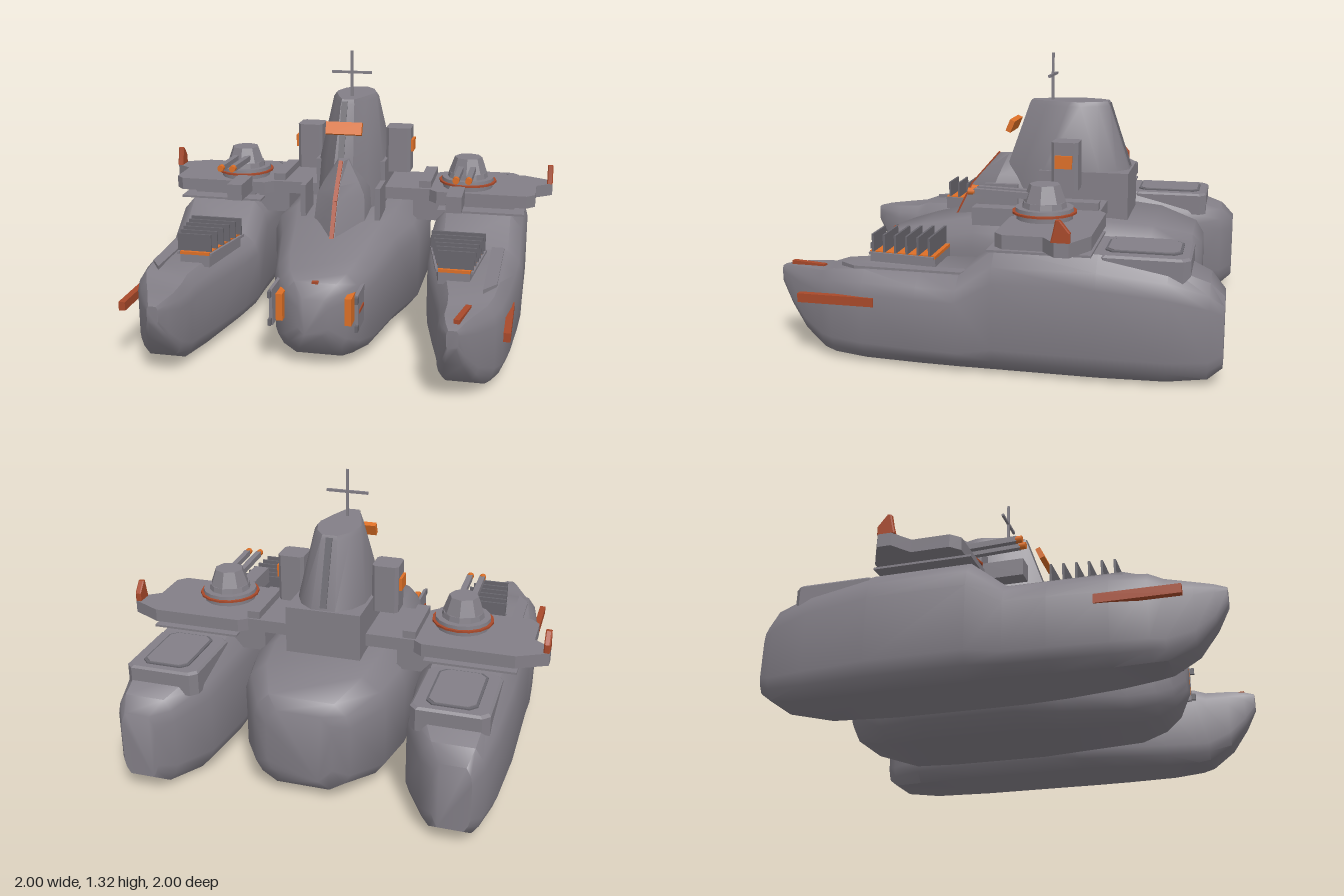
import * as THREE from 'three';
import { toCreasedNormals } from 'three/addons/utils/BufferGeometryUtils.js';

const mat = (name, color) => Object.assign(new THREE.MeshStandardMaterial({ color }), { name });
const grey = mat('hull grey', 0x837f87);
const dark = mat('dark grey', 0x68666d);
const orange = mat('orange', 0xdd6f26);
const rust = mat('rust orange', 0xa8492a);

function add(parent, name, geometry, material, x = 0, y = 0, z = 0) {
  const m = new THREE.Mesh(geometry, material);
  m.name = name;
  m.position.set(x, y, z);
  parent.add(m);
  return m;
}

// box given by its limits
function box(parent, name, material, x0, x1, y0, y1, z0, z1) {
  return add(parent, name, new THREE.BoxGeometry(x1 - x0, y1 - y0, z1 - z0), material,
    (x0 + x1) / 2, (y0 + y1) / 2, (z0 + z1) / 2);
}

// bar running from point a to point b
function beam(parent, name, material, a, b, w, h) {
  const A = new THREE.Vector3(...a), B = new THREE.Vector3(...b);
  const m = add(parent, name, new THREE.BoxGeometry(w, h, A.distanceTo(B)), material);
  m.position.copy(A).add(B).multiplyScalar(0.5);
  m.lookAt(B);
}

// skin over rings of points, closed at both ends
function loft(rings, crease = 0.5) {
  const n = rings[0].length, pos = rings.flat(2), idx = [];
  for (let i = 0; i < rings.length - 1; i++)
    for (let j = 0; j < n; j++) {
      const a = i * n + j, b = i * n + (j + 1) % n;
      idx.push(a, b, b + n, a, b + n, a + n);
    }
  const last = (rings.length - 1) * n;
  for (let j = 1; j < n - 1; j++) idx.push(0, j + 1, j, last, last + j, last + j + 1);
  const g = new THREE.BufferGeometry();
  g.setAttribute('position', new THREE.Float32BufferAttribute(pos, 3));
  g.setIndex(idx);
  return toCreasedNormals(g, crease);
}

// chamfered hull section; station = [z, x0, x1, y0, y1], b = bottom corner cut
const hullRing = (b) => ([z, x0, x1, y0, y1]) =>
  [[b, 0], [1 - b, 0], [1 - b * 0.3, 0.1], [1, 0.21], [1, 0.75], [0.96, 0.88], [0.84, 1],
    [0.16, 1], [0.04, 0.88], [0, 0.75], [0, 0.21], [b * 0.3, 0.1]]
    .map(([u, v]) => [x0 + u * (x1 - x0), y0 + v * (y1 - y0), z]);

// horizontal ring with cut corners
function cutRing(y, x0, x1, z0, z1, c) {
  return [[x1, z1 - c], [x1, z0 + c], [x1 - c, z0], [x0 + c, z0], [x0, z0 + c], [x0, z1 - c],
    [x0 + c, z1], [x1 - c, z1]].map(([x, z]) => [x, y, z]);
}

// flat plate from an outline of [x, z]
function plate(points, y0, y1) {
  const s = new THREE.Shape(points.map(([x, z]) => new THREE.Vector2(x, -z)));
  return new THREE.ExtrudeGeometry(s, { depth: y1 - y0, bevelEnabled: false })
    .rotateX(-Math.PI / 2).translate(0, y0, 0);
}

function turret() {
  const g = new THREE.Group();
  g.name = 'turret';
  const drum = (name, m, r0, r1, y0, y1, n) => add(g, name,
    toCreasedNormals(new THREE.CylinderGeometry(r1, r0, y1 - y0, n), 0.5), m, 0, (y0 + y1) / 2, 0);
  drum('turretRing', grey, 0.125, 0.125, 0.64, 0.665, 16);
  drum('turretBand', rust, 0.143, 0.143, 0.665, 0.674, 16);
  drum('turretCollar', grey, 0.13, 0.128, 0.674, 0.69, 16);
  drum('turretBody', grey, 0.1, 0.095, 0.69, 0.715, 12);
  drum('turretHead', grey, 0.095, 0.068, 0.715, 0.79, 8);
  for (const x of [-0.03, 0.03]) {
    beam(g, 'barrel', grey, [x, 0.74, 0.04], [x, 0.75, 0.31], 0.027, 0.027);
    const tip = add(g, 'barrelTip', new THREE.CylinderGeometry(0.016, 0.016, 0.03, 10), orange, x, 0.75, 0.32);
    tip.rotation.x = Math.PI / 2;
  }
  box(g, 'barrelCradle', grey, -0.075, 0.0, 0.59, 0.67, 0.14, 0.33);
  g.position.set(0.58, 0, -0.21);
  return g;
}

function launcher() {
  const g = new THREE.Group();
  g.name = 'launcher';
  const outline = [[0.475, 0.255], [0.7, 0.255], [0.665, 0.57], [0.525, 0.57]];
  add(g, 'launcherBase', plate(outline, 0.40, 0.455), grey);
  add(g, 'launcherBed', plate(outline, 0.455, 0.469), orange);
  for (let i = 0; i < 6; i++) {
    const t = i / 5, z = 0.28 + 0.27 * t;
    box(g, 'slat', dark, 0.46 + 0.06 * t, 0.71 - 0.03 * t, 0.469, 0.55, z - 0.005, z + 0.005);
  }
  beam(g, 'launcherRail', grey, [0.46, 0.46, 0.26], [0.52, 0.46, 0.57], 0.012, 0.012);
  beam(g, 'launcherRail', grey, [0.71, 0.46, 0.26], [0.675, 0.46, 0.57], 0.012, 0.012);
  return g;
}

// everything on one side, built at +x
function sideAssembly() {
  const g = new THREE.Group();
  const stations = [
    [-1, 0.62, 0.785, 0.08, 0.39], [-0.94, 0.555, 0.825, 0.035, 0.45], [-0.77, 0.455, 0.86, 0.015, 0.51],
    [-0.48, 0.42, 0.88, 0.012, 0.55], [-0.04, 0.42, 0.88, 0.012, 0.55], [0.12, 0.425, 0.88, 0.012, 0.42],
    [0.3, 0.45, 0.87, 0.012, 0.42], [0.55, 0.505, 0.85, 0.015, 0.42], [0.7, 0.54, 0.825, 0.025, 0.41],
    [0.76, 0.55, 0.795, 0.035, 0.39], [0.87, 0.56, 0.735, 0.1, 0.385], [0.95, 0.585, 0.69, 0.2, 0.38],
    [1, 0.61, 0.66, 0.29, 0.37]];
  add(g, 'sideHull', loft(stations.map(hullRing(0.16)), 0.85), grey);
  box(g, 'hullDeckPlate', grey, 0.45, 0.87, 0.55, 0.56, -0.46, -0.02);
  add(g, 'deckStrip', plate([[0.73, 0.11], [0.79, 0.11], [0.785, 0.6], [0.73, 0.68]], 0.405, 0.43), grey);

  // rear hatch
  add(g, 'rearHatch', loft([cutRing(0.44, 0.48, 0.82, -0.86, -0.47, 0.03),
    cutRing(0.54, 0.48, 0.82, -0.86, -0.47, 0.03), cutRing(0.55, 0.49, 0.81, -0.85, -0.48, 0.03)]), grey);
  add(g, 'hatchRim', loft([cutRing(0.55, 0.54, 0.76, -0.82, -0.5, 0.03),
    cutRing(0.556, 0.54, 0.76, -0.82, -0.5, 0.03)]), dark);
  add(g, 'hatchPanel', loft([cutRing(0.55, 0.55, 0.75, -0.81, -0.51, 0.03),
    cutRing(0.56, 0.55, 0.75, -0.81, -0.51, 0.03)]), grey);

  // wing deck, its connector and tip fin
  add(g, 'wingDeck', plate([[0.1, -0.43], [0.4, -0.43], [0.44, -0.46], [0.86, -0.46], [1, -0.39],
    [1, -0.33], [0.92, -0.27], [0.92, -0.1], [0.88, -0.06], [0.44, -0.06], [0.4, -0.1], [0.1, -0.1]],
  0.58, 0.64), grey);
  box(g, 'connector', grey, 0.32, 0.48, 0.48, 0.58, -0.42, -0.1);
  box(g, 'wingPylon', grey, 0.5, 0.82, 0.55, 0.58, -0.4, -0.1);
  box(g, 'deckLocker', grey, 0.345, 0.405, 0.64, 0.675, -0.42, -0.12);
  add(g, 'wingTipFin', loft([cutRing(0.64, 0.972, 1, -0.395, -0.315, 0.005),
    cutRing(0.68, 0.972, 1, -0.395, -0.325, 0.005), cutRing(0.73, 0.972, 1, -0.355, -0.335, 0.005)]), rust);

  g.add(turret(), launcher());
  box(g, 'sideStripe', rust, 0.83, 0.86, 0.27, 0.31, 0.49, 0.84);

  // bow panels beside the centre hull
  box(g, 'bowPanel', orange, 0.14, 0.17, 0.235, 0.36, 0.59, 0.73);
  box(g, 'bowBracket', grey, 0.185, 0.2, 0.21, 0.38, 0.58, 0.73);
  box(g, 'bracketMark', rust, 0.2, 0.204, 0.29, 0.305, 0.61, 0.71);
  for (const y of [0.23, 0.36]) box(g, 'bracketPin', dark, 0.188, 0.202, y - 0.015, y + 0.015, 0.72, 0.75);

  // sensor pods and cabin fins
  add(g, 'sensorPod', loft([cutRing(0.7, 0.165, 0.29, -0.305, -0.18, 0.015),
    cutRing(0.925, 0.165, 0.29, -0.305, -0.18, 0.015)]), grey);
  box(g, 'podLight', orange, 0.285, 0.303, 0.805, 0.865, -0.28, -0.2);
  box(g, 'cabinFin', grey, 0.17, 0.195, 0.5, 0.7, 0.0, 0.16);
  return g;
}

export function createModel() {
  const model = new THREE.Group();
  model.name = 'trimaranWarship';

  // centre hull
  const hull = [[-0.87, 0.15, 0.11, 0.44], [-0.83, 0.22, 0.05, 0.49], [-0.65, 0.33, 0.0, 0.54],
    [-0.45, 0.37, 0, 0.555], [0, 0.365, 0, 0.555], [0.2, 0.3, 0, 0.54], [0.5, 0.235, 0.005, 0.47],
    [0.62, 0.19, 0.04, 0.435], [0.69, 0.14, 0.09, 0.41], [0.74, 0.07, 0.18, 0.35]];
  add(model, 'centreHull', loft(hull.map(([z, w, y0, y1]) => hullRing(0.22)([z, -w, w, y0, y1])), 0.85), grey);
  box(model, 'bowLight', rust, -0.015, 0.015, 0.405, 0.415, 0.675, 0.695);

  // both sides
  for (const s of [1, -1]) {
    const side = sideAssembly();
    side.name = s > 0 ? 'leftSide' : 'rightSide';
    side.scale.x = s;
    model.add(side);
  }
  beam(model, 'bowStripe', rust, [0.68, 0.388, 0.78], [0.645, 0.388, 0.95], 0.025, 0.02);

  // superstructure block and tower
  box(model, 'rearBlock', grey, -0.175, 0.175, 0.53, 0.77, -0.525, -0.1);
  const towerRing = (y, w, zf, zb) => {
    const half = [[w * 0.65, zf - 0.09], [w, zf - 0.2], [w, zb + 0.13], [w * 0.75, zb + 0.05], [w * 0.35, zb]];
    return [[w * 0.3, zf], ...half, ...half.map(([x, z]) => [-x, z]).reverse(), [-w * 0.3, zf]]
      .map(([x, z]) => [x, y, z]);
  };
  add(model, 'tower', loft([towerRing(0.53, 0.17, 0.1, -0.52), towerRing(0.77, 0.16, 0.08, -0.515),
    towerRing(1.07, 0.11, -0.025, -0.415), towerRing(1.09, 0.098, -0.035, -0.405)], 0.7), grey);
  beam(model, 'towerFrontRib', dark, [-0.015, 0.78, 0.075], [-0.015, 1.08, -0.029], 0.03, 0.01);
  beam(model, 'towerRearRib', dark, [0, 0.78, -0.512], [0, 1.08, -0.412], 0.03, 0.01);

  // forward cabin with its ridge stripe
  const cabinRing = (y, w, zf, zm) => [[w, zm], [w, -0.1], [-w, -0.1], [-w, zm], [-0.012, zf],
    [0.012, zf]].map(([x, z]) => [x, y, z]);
  add(model, 'cabin', loft([cabinRing(0.45, 0.13, 0.375, 0.2), cabinRing(0.66, 0.115, 0.27, 0.14),
    cabinRing(0.72, 0.085, 0.22, 0.12), cabinRing(0.82, 0.025, 0.13, 0.08)]), grey);
  beam(model, 'ridgeStripe', rust, [0, 0.49, 0.357], [0, 0.66, 0.272], 0.02, 0.014);
  beam(model, 'ridgeStripe', rust, [0, 0.66, 0.272], [0, 0.82, 0.132], 0.02, 0.014);

  // visor and mast
  const visor = box(model, 'visor', orange, -0.088, 0.088, 0.935, 0.995, 0.047, 0.073);
  visor.rotation.x = -0.4;
  box(model, 'mast', grey, -0.006, 0.006, 1.08, 1.315, -0.139, -0.127);
  box(model, 'mastCrossbar', grey, -0.1, 0.1, 1.203, 1.215, -0.139, -0.127);
  return model;
}
